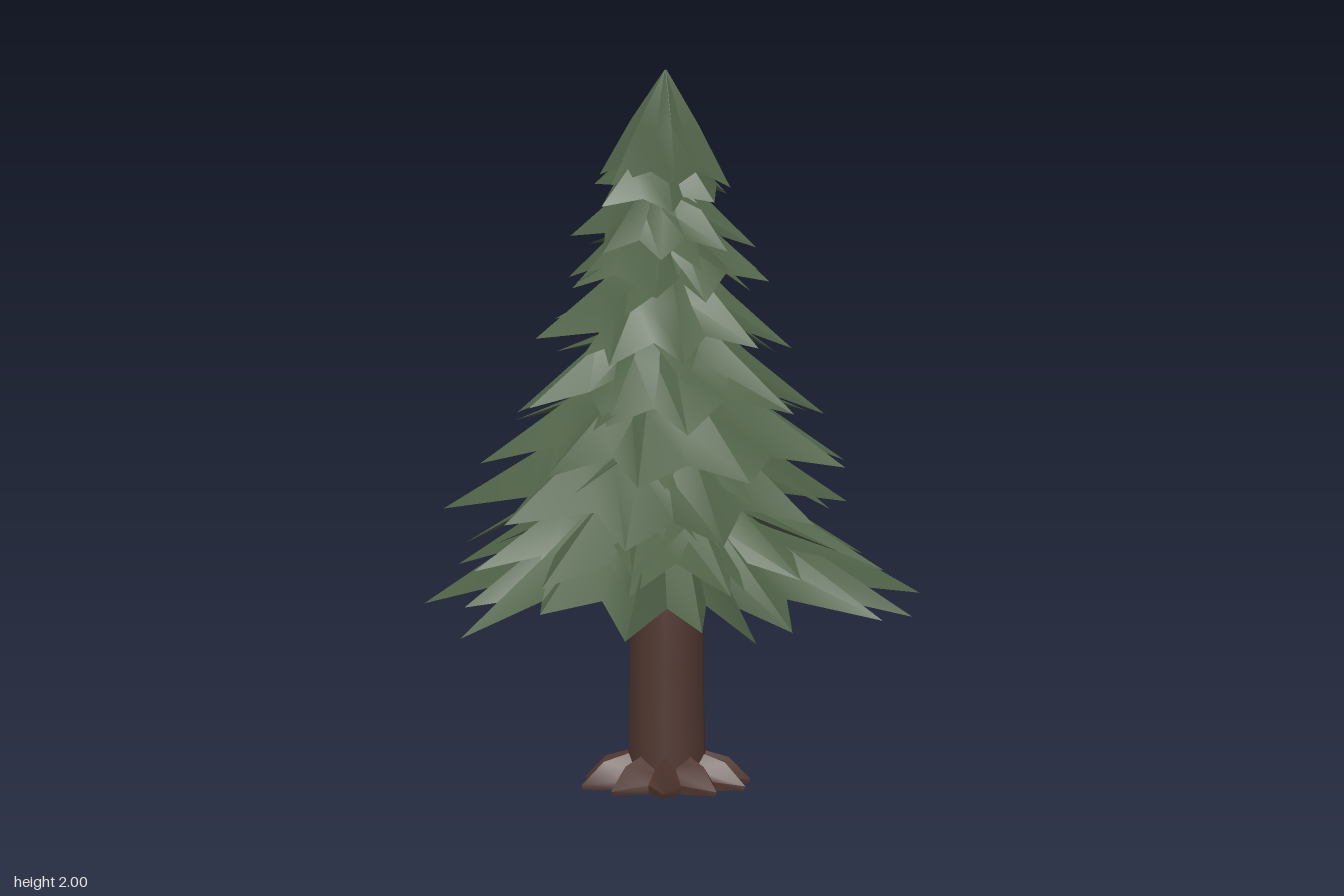
import * as THREE from 'three';
import { mergeGeometries, toCreasedNormals } from 'three/addons/utils/BufferGeometryUtils.js';

const needleGreen = new THREE.MeshStandardMaterial({ color: 0x506248, side: THREE.DoubleSide });
needleGreen.name = 'needle green';
const barkBrown = new THREE.MeshStandardMaterial({ color: 0x50362f, side: THREE.DoubleSide });
barkBrown.name = 'bark brown';

// small seeded generator
let seed = 11;
function rand(min, max) {
  seed = (seed * 16807) % 2147483647;
  return min + (max - min) * (seed / 2147483647);
}

// skin closed rings of [radius, angle, height], listed from the top down and under
function loft(rows, crease) {
  const n = rows[0].length, pos = [], index = [];
  rows.forEach((row) => row.forEach(([r, a, y]) => pos.push(r * Math.cos(a), y, r * Math.sin(a))));
  for (let i = 0; i < rows.length - 1; i++) {
    for (let j = 0; j < n; j++) {
      const k = (j + 1) % n;
      const a = i * n + j, b = a + n, c = i * n + k, d = c + n;
      index.push(a, c, b, c, d, b);
    }
  }
  const g = new THREE.BufferGeometry();
  g.setAttribute('position', new THREE.Float32BufferAttribute(pos, 3));
  g.setIndex(index);
  return toCreasedNormals(g, crease);
}

function addMesh(group, name, geometry, material) {
  const m = new THREE.Mesh(geometry, material);
  m.name = name;
  group.add(m);
}

// one hollow skirt of drooping branches; tips are [angle, radius, height]
function tierGeometry(tips, yTop, bend, notchRise) {
  const rows = [[], [], [], [], []];
  const n = tips.length;
  const put = (a, r, y, isTip) => {
    const rise = yTop - y;
    const shift = a + rand(-0.05, 0.05);
    const midR = r * 0.5 * (isTip ? 1.04 : 0.92);
    const midY = y + rise * bend + (isTip ? 0.015 : -0.015);
    rows[0].push([0.003, a, yTop]);
    rows[1].push([midR, shift, midY]);
    rows[2].push([r * (isTip ? 1 : rand(0.64, 0.76)), a, y + (isTip ? 0 : rise * notchRise * rand(0.7, 1.2))]);
    rows[3].push([midR * 0.96, shift, midY - 0.035]);
    rows[4].push([0.003, a, yTop - 0.06]);
  };
  for (let i = 0; i < n; i++) {
    const [a, r, y] = tips[i];
    const [a2, r2, y2] = tips[(i + 1) % n];
    put(a, r, y, true);
    const gap = (a2 - a + Math.PI * 2) % (Math.PI * 2);
    put(a + gap * rand(0.4, 0.6), (r + r2) / 2, (y + y2) / 2, false);
  }
  return loft(rows, 0.9);
}

function ringOfTips(n, radius, y) {
  const start = rand(0, 1);
  return Array.from({ length: n }, (_, i) => [
    start + ((i + rand(-0.25, 0.25)) / n) * Math.PI * 2,
    radius * rand(0.84, 1.04),
    y + rand(-0.03, 0.03),
  ]);
}

// broad, flat, pointed spray of needles with a ridge along its back
function sprayGeometry(angle, y, reach) {
  const length = 0.1 + reach * 0.42;
  const droop = rand(0.3, 0.6);
  const g = new THREE.ConeGeometry(0.5, 1, 4);
  g.rotateZ(-Math.PI / 2);
  g.translate(-0.5, 0, 0);
  g.scale(length, 0.04, rand(0.45, 0.7) * length + 0.03);
  g.rotateX(rand(-0.4, 0.4));
  g.rotateZ(-droop);
  g.translate(reach, y, 0);
  g.rotateY(-angle);
  return toCreasedNormals(g, 0.7);
}

export function createModel() {
  seed = 11;
  const tree = new THREE.Group();
  tree.name = 'pineTree';

  // trunk, lightly fluted and widening a little into the roots
  const sides = 20;
  const trunkRow = (r, y, flute) => Array.from({ length: sides }, (_, j) =>
    [r * (1 + (j % 2 ? -flute : flute)), (j / sides) * Math.PI * 2, y]);
  const trunk = loft([
    trunkRow(0.002, 1.2, 0), trunkRow(0.06, 1.15, 0), trunkRow(0.102, 0.65, 0.01),
    trunkRow(0.103, 0.35, 0.015), trunkRow(0.105, 0.2, 0.02), trunkRow(0.108, 0.04, 0.03),
  ], 0.9);
  trunk.translate(0, 0, 0.024);
  addMesh(tree, 'trunk', trunk, barkBrown);

  // low star of root toes around the foot, hollow underneath
  const roots = [[], [], [], [], []];
  const toes = 10;
  for (let j = 0; j < toes * 2; j++) {
    const toe = j % 2 === 0;
    const a = ((j + rand(-0.25, 0.25)) / (toes * 2)) * Math.PI * 2;
    const r = toe ? rand(0.225, 0.25) : rand(0.14, 0.165);
    roots[0].push([0.095, a, toe ? 0.1 : 0.07]);
    roots[1].push([r * 0.74, a, toe ? 0.075 : 0.05]);
    roots[2].push([r, a, toe ? 0.012 : 0.025]);
    roots[3].push([r * 0.98, a, 0]);
    roots[4].push([0.002, a, 0.03]);
  }
  const rootGeometry = loft(roots, 0.7);
  rootGeometry.translate(0, 0, 0.024);
  addMesh(tree, 'roots', rootGeometry, barkBrown);

  // lowest skirt, with its longest branches placed by [x, z, y]
  const lowTips = [
    [0.69, -0.1, 0.48], [0.54, 0.17, 0.56], [0.63, 0.41, 0.5], [0.39, 0.58, 0.48],
    [0.14, 0.68, 0.51], [-0.18, 0.62, 0.51], [-0.3, 0.59, 0.49], [-0.39, 0.47, 0.52],
    [-0.64, 0.4, 0.52], [-0.62, 0.08, 0.56], [-0.7, -0.14, 0.48], [-0.51, -0.28, 0.53],
    [-0.38, -0.53, 0.5], [-0.17, -0.62, 0.5], [0.14, -0.69, 0.48], [0.57, -0.41, 0.5],
  ].map(([x, z, y]) => [Math.atan2(z, x), Math.hypot(x, z), y]);
  addMesh(tree, 'lowestBranches', tierGeometry(lowTips, 0.98, 0.42, 0.11), needleGreen);

  // middle skirts: [branches, radius, tip height, top height]
  const tiers = [
    [12, 0.6, 0.62, 1.02], [10, 0.59, 0.76, 1.16], [10, 0.52, 0.91, 1.28],
    [10, 0.44, 1.06, 1.42], [9, 0.37, 1.24, 1.56], [8, 0.3, 1.4, 1.68],
    [8, 0.275, 1.51, 1.76], [7, 0.215, 1.65, 1.85],
  ];
  tiers.forEach(([n, r, y, top], i) => {
    const g = tierGeometry(ringOfTips(n, r, y), top, 0.42, 0.15);
    g.translate(0, 0, 0.01);
    addMesh(tree, 'branchTier' + (i + 1), g, needleGreen);
  });

  // pointed crown
  const crown = tierGeometry(ringOfTips(6, 0.19, 1.68), 2, 0.48, 0.13);
  crown.translate(0, 0, 0.02);
  addMesh(tree, 'crown', crown, needleGreen);

  // loose sprays breaking up the skirts
  const sprays = [];
  const count = 54;
  for (let i = 0; i < count; i++) {
    const y = 0.55 + 1.05 * Math.pow(i / (count - 1), 1.3);
    const reach = (0.19 + 0.4 * (1.68 - y)) * rand(0.72, 0.98);
    sprays.push(sprayGeometry(i * 2.4 + rand(-0.2, 0.2), y, reach));
  }
  addMesh(tree, 'needleSprays', mergeGeometries(sprays), needleGreen);

  return tree;
}
